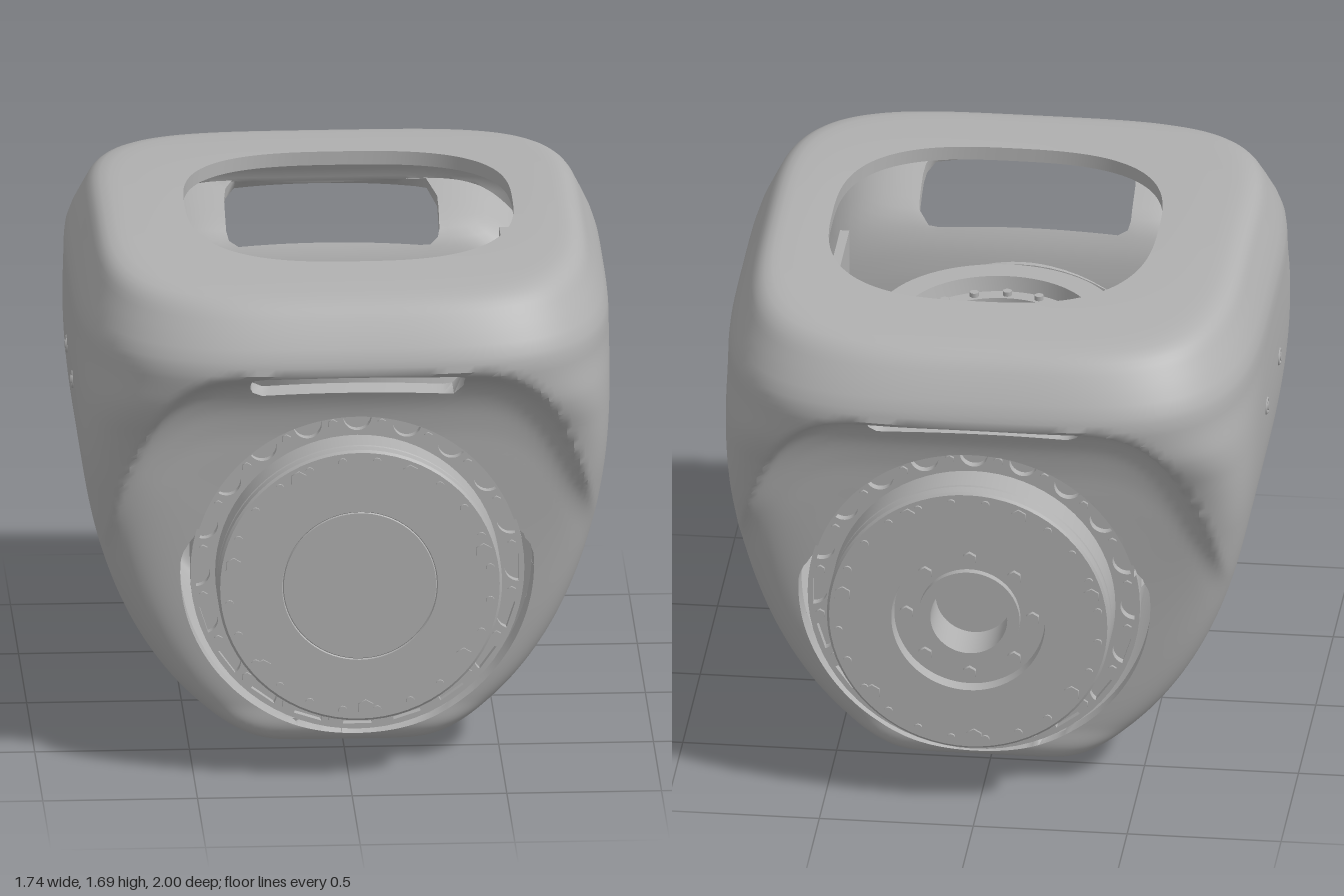
import * as THREE from 'three';
import { mergeGeometries, toCreasedNormals } from 'three/addons/utils/BufferGeometryUtils.js';

const CX = 0.033, CY = 0.665; // axis of the drum
const BROW = 1.43;            // height of the widest section
const smooth = THREE.MathUtils.smoothstep;

// Half depth of the shell by height: [y, towards the sides, in the middle recess]
const DEPTH = [
  [0, 0.15, 0.15], [0.015, 0.4, 0.4], [0.04, 0.55, 0.55], [0.09, 0.655, 0.65], [0.2, 0.675, 0.665], [0.5, 0.7, 0.677],
  [0.7, 0.72, 0.685], [0.9, 0.755, 0.695], [1.05, 0.8, 0.705], [1.16, 0.855, 0.715], [1.26, 0.93, 0.74],
  [1.33, 0.978, 0.79], [1.38, 0.995, 0.9], [BROW, 1, 1],
];

function depthAt(y, col) {
  const last = DEPTH.length - 1;
  let i = 0;
  while (i < last - 1 && y > DEPTH[i + 1][0]) i++;
  const slope = (j) => {
    if (j === last) return 0;
    const a = DEPTH[Math.max(j - 1, 0)], b = DEPTH[j + 1];
    return (b[col] - a[col]) / (b[0] - a[0]);
  };
  const h = DEPTH[i + 1][0] - DEPTH[i][0], t = (y - DEPTH[i][0]) / h, s = t * t * (3 - 2 * t);
  return DEPTH[i][col] * (1 - s) + DEPTH[i + 1][col] * s
    + h * (t * (1 - t) * (1 - t) * slope(i) - t * t * (1 - t) * slope(i + 1));
}
const widthAt = (y) => 0.866 * Math.pow(Math.max(0, 1 - Math.pow(1 - y / BROW, 2.6)), 1 / 2.1);
const powerAt = (y) => 8.5 - 4.5 * smooth(y, 0.95, BROW);

// The recess is arched: its brow drops towards the sides and blends softly into them
function archDepth(x, y) {
  const drop = 0.3 * Math.pow(Math.max(0, Math.abs(x - 0.02) - 0.28) / 0.44, 3.5);
  const a = depthAt(y, 1), b = depthAt(Math.min(BROW, y + drop), 2);
  const k = 0.06 * smooth(BROW - y, 0, 0.12) + 1e-6;
  const h = Math.max(0, k - Math.abs(a - b)) / k;
  return Math.min(a, b) - h * h * k / 4;
}

// Front surface height z over (x, y)
function faceZ(x, y) {
  const n = powerAt(y), w = widthAt(y);
  const r = w > 0 ? Math.min(1, Math.abs(x) / w) : 0;
  return archDepth(x, y) * Math.pow(1 - Math.pow(r, n), 1 / n);
}

// Signed distance to the round drum opening and the slot above it
function openingDistance(x, y) {
  const round = Math.hypot(x - CX, y - CY) - 0.572 + 0.04 * smooth(y, 0.7, 0.82);
  const qx = Math.abs(x - 0.028) - 0.305, qy = Math.abs(y - 1.355 + 0.1 * x * x) - 0.025;
  const slot = Math.hypot(Math.max(qx, 0), Math.max(qy, 0)) + Math.min(Math.max(qx, qy), 0) - 0.04;
  return Math.min(round, slot);
}

function shellGeometry() {
  const SIDE = 56, COLS = SIDE * 4, LOW = 96, HIGH = 16, THICK = 0.045;
  const rim = new THREE.CatmullRomCurve3([
    [0.866, BROW, 1], [0.86, 1.49, 0.988], [0.81, 1.61, 0.925], [0.785, 1.66, 0.893],
    [0.75, 1.685, 0.855], [0.68, 1.69, 0.76], [0.6, 1.69, 0.65], [0.53, 1.688, 0.56],
  ].map((p) => new THREE.Vector3(...p)));
  const pos = [], cut = [], index = [];
  for (let r = 0; r <= LOW + HIGH; r++) {
    for (let c = 0; c < COLS; c++) {
      const s = Math.floor(c / SIDE), u = (c % SIDE) / SIDE * 2 - 1;
      const [a, b] = [[u, 1], [1, -u], [-u, -1], [-1, u]][s];
      let x, y, z, inside = false;
      if (r <= LOW) {
        y = BROW * Math.pow(r / LOW, 1.3);
        const n = powerAt(y), m = Math.pow(Math.abs(a) ** n + Math.abs(b) ** n, -1 / n);
        x = widthAt(y) * a * m;
        z = archDepth(x, y) * b * m;
        const dist = openingDistance(x, y);
        if (dist < 0 && Math.abs(b) > 0.5) {
          // slide vertices inside an opening onto its edge
          inside = true;
          const e = 1e-4, gx = openingDistance(x + e, y) - dist, gy = openingDistance(x, y + e) - dist;
          const g = Math.hypot(gx, gy) || 1;
          x -= dist * gx / g;
          y -= dist * gy / g;
          z = Math.sign(b) * faceZ(x, y);
        }
      } else {
        const t = (r - LOW) / HIGH, p = rim.getPoint(t), n = 4 - 1.2 * smooth(t, 0.5, 1);
        const m = Math.pow(Math.abs(a) ** n + Math.abs(b) ** n, -1 / n);
        x = p.x * a * m + 0.04 * smooth(t, 0.5, 1);
        z = p.z * b * m;
        y = p.y - 0.04 * (z / 0.88) ** 2 * smooth(t, 0, 0.5);
      }
      pos.push(x, y, z);
      cut.push(inside);
    }
  }
  const tri = (a, b, c) => { if (!(cut[a] && cut[b] && cut[c])) index.push(a, b, c); };
  for (let r = 0; r < LOW + HIGH; r++) for (let c = 0; c < COLS; c++) {
    const a = r * COLS + c, b = r * COLS + (c + 1) % COLS;
    tri(a, b, b + COLS);
    tri(a, b + COLS, a + COLS);
  }
  const g = new THREE.BufferGeometry();
  g.setAttribute('position', new THREE.Float32BufferAttribute(pos, 3));
  g.setIndex(index);
  g.computeVertexNormals();
  const nor = g.attributes.normal;
  for (let c = 0; c < COLS; c++) nor.setXYZ(c, 0, -1, 0);
  // inner skin, then the rims that join both skins along open edges
  const N = cut.length, all = index.slice(), edges = new Set();
  const skin = pos.map((v, i) => v - THICK * nor.array[i]);
  for (let i = 0; i < index.length; i += 3) {
    all.push(index[i] + N, index[i + 2] + N, index[i + 1] + N);
    for (let k = 0; k < 3; k++) edges.add(index[i + k] * N + index[i + (k + 1) % 3]);
  }
  for (const key of edges) {
    const a = Math.floor(key / N), b = key % N;
    if (!edges.has(b * N + a) && a >= COLS) all.push(b, a, a + N, b, a + N, b + N);
  }
  const out = new THREE.BufferGeometry();
  out.setAttribute('position', new THREE.Float32BufferAttribute(pos.concat(skin), 3));
  out.setIndex(all);
  return toCreasedNormals(out, 1);
}

const lathe = (pts, seg = 72) =>
  toCreasedNormals(new THREE.LatheGeometry(pts.map((p) => new THREE.Vector2(...p)), seg), 0.5);

// Ring of small bolts facing +z
function boltRing(count, radius, size, z, sides, offset = 0, height = 0.02) {
  const list = [];
  for (let i = 0; i < count; i++) {
    const a = (i + offset) / count * Math.PI * 2;
    list.push(new THREE.CylinderGeometry(size, size, height, sides).toNonIndexed().rotateX(Math.PI / 2)
      .translate(Math.cos(a) * radius, Math.sin(a) * radius, z));
  }
  return mergeGeometries(list);
}

// Toothed flange with half-round pockets
function flangeGeometry() {
  const shape = new THREE.Shape().absarc(0, 0, 0.54, 0, Math.PI * 2);
  shape.holes.push(new THREE.Path().absarc(0, 0, 0.455, 0, Math.PI * 2, true));
  for (let i = 0; i < 20; i++) {
    const a = i / 20 * Math.PI * 2;
    shape.holes.push(new THREE.Path().absarc(Math.cos(a) * 0.522, Math.sin(a) * 0.522, 0.046, a + Math.PI / 2, a + Math.PI * 1.5));
  }
  return new THREE.ExtrudeGeometry(shape, { depth: 0.03, bevelEnabled: false, curveSegments: 36 });
}

export function createModel() {
  const model = new THREE.Group();
  const grey = new THREE.MeshStandardMaterial({ color: 0xb0b0b0 });
  grey.name = 'housing grey';
  const add = (name, geo, parent = model) => {
    const m = new THREE.Mesh(geo, grey);
    m.name = name;
    parent.add(m);
  };
  add('shell', shellGeometry());

  // Drum along z; the back end has an open hub
  const drum = new THREE.Group();
  drum.name = 'drum';
  drum.position.set(CX, CY, 0);
  model.add(drum);
  add('drumBody', lathe([
    [0, -0.68], [0.125, -0.68], [0.125, -0.835], [0.165, -0.835], [0.165, -0.81], [0.245, -0.81], [0.25, -0.852],
    [0.452, -0.852], [0.46, -0.845], [0.46, -0.806], [0.452, -0.8], [0.46, -0.794], [0.46, 0.794], [0.452, 0.8],
    [0.46, 0.806], [0.46, 0.845], [0.452, 0.852], [0.252, 0.852], [0.249, 0.847], [0.246, 0.851], [0, 0.851],
  ]).rotateX(Math.PI / 2), drum);
  add('hubBolts', boltRing(8, 0.205, 0.024, 0.815, 6).rotateY(Math.PI), drum);

  // Flange and bolts, the same at both ends
  for (const turn of [0, Math.PI]) {
    const end = new THREE.Group();
    end.name = turn ? 'backEnd' : 'frontEnd';
    end.rotation.y = turn;
    drum.add(end);
    add('flange', flangeGeometry().translate(0, 0, 0.66), end);
    add('flangeBacking', lathe([[0.455, 0.44], [0.53, 0.44], [0.53, 0.662], [0.455, 0.662]]).rotateX(Math.PI / 2), end);
    add('flangeBolts', boltRing(20, 0.505, 0.016, 0.69, 6, 0.5), end);
    add('faceBolts', boltRing(24, 0.425, 0.014, 0.85, 10, 0.5), end);
    add('largeFaceBolts', boltRing(7, 0.415, 0.028, 0.85, 6, 0.3), end);
  }

  // Upright neck under the top opening
  const neck = new THREE.Group();
  neck.name = 'neck';
  neck.position.x = CX;
  model.add(neck);
  add('neckRing', lathe([
    [0.43, 0.75], [0.43, 1.3], [0.422, 1.31], [0.4, 1.31], [0.395, 1.335], [0.31, 1.335],
    [0.3, 1.285], [0.25, 1.285], [0.25, 1.2], [0, 1.2],
  ]), neck);
  add('neckBolts', boltRing(16, 0.275, 0.015, 0, 10).rotateX(-Math.PI / 2).translate(0, 1.29, 0), neck);
  add('neckBar', new THREE.BoxGeometry(0.48, 0.02, 0.09).translate(0, 1.21, 0), neck);
  add('crossTube', new THREE.CylinderGeometry(0.3, 0.3, 0.94, 48).rotateZ(Math.PI / 2).translate(0, CY, 0), neck);

  // Side brackets, ribs and fixing points
  for (const side of [-1, 1]) {
    const name = side > 0 ? 'left' : 'right';
    add(name + 'Bracket', new THREE.BoxGeometry(0.03, 0.45, 0.4).translate(CX + side * 0.52, 1.3, 0));
    add(name + 'BracketArm', new THREE.BoxGeometry(0.28, 0.05, 0.12).translate(side * 0.68, 1.12, 0));
    for (let i = -2; i <= 2; i++) {
      add(name + 'Rib', new THREE.BoxGeometry(0.03, 0.5, 0.015).translate(side * 0.805, 1.26, i * 0.2));
    }
    add(name + 'LongRib', new THREE.BoxGeometry(0.03, 0.015, 1).translate(side * 0.805, 1.3, 0));
    for (const z of [-0.18, 0.18]) {
      const x = side * widthAt(1.16);
      add(name + 'FixingRing', new THREE.TorusGeometry(0.024, 0.006, 6, 20).rotateY(Math.PI / 2).translate(x, 1.16, z));
      add(name + 'FixingBolt', new THREE.CylinderGeometry(0.014, 0.014, 0.014, 6).rotateZ(Math.PI / 2).translate(x, 1.16, z));
    }
  }
  return model;
}
